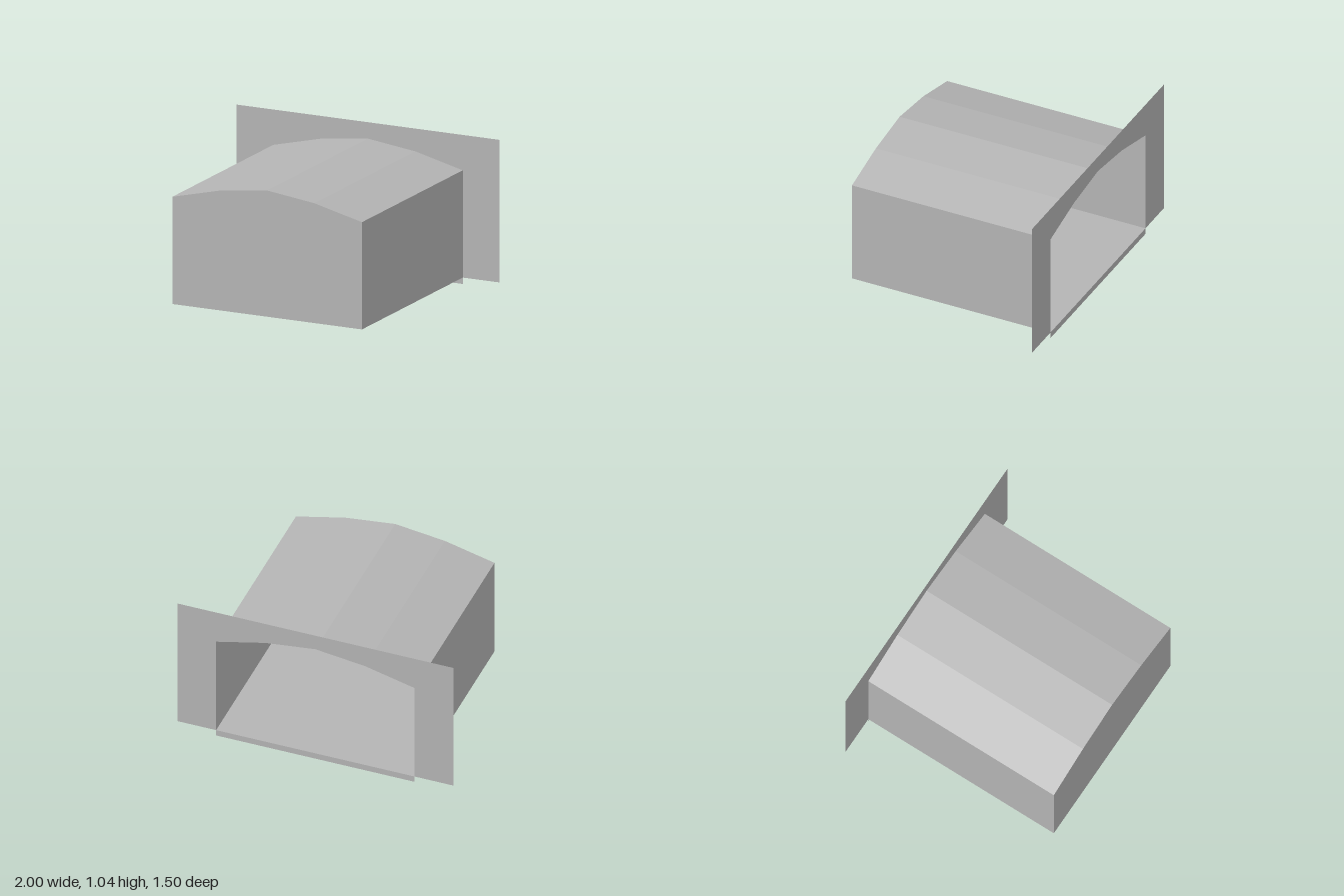
import * as THREE from 'three';

const BASE = 0.045, HALF = 0.72, FRONT = 0.75, BACK = -0.75;

// Arched cross-section, counter-clockwise seen from the front
const profile = [
  [-HALF, BASE], [HALF, BASE], [HALF, 0.797], [0.36, 0.885],
  [0, 0.93], [-0.36, 0.885], [-HALF, 0.797],
];

// Flat sheet in the xy plane at depth z
function sheet(points, z) {
  const shape = new THREE.Shape(points.map(([x, y]) => new THREE.Vector2(x, y)));
  return new THREE.ShapeGeometry(shape).translate(0, 0, z);
}

// Flat strip running front to back along one edge of the cross-section
function panel([x0, y0], [x1, y1]) {
  const g = new THREE.BufferGeometry();
  g.setAttribute('position', new THREE.Float32BufferAttribute([
    x0, y0, FRONT, x0, y0, BACK, x1, y1, BACK, x1, y1, FRONT,
  ], 3));
  g.setIndex([0, 1, 2, 0, 2, 3]);
  g.computeVertexNormals();
  return g;
}

export function createModel() {
  const group = new THREE.Group();
  const grey = new THREE.MeshStandardMaterial({ color: 0xb4b4b4, side: THREE.DoubleSide });
  grey.name = 'plain grey';

  const add = (name, geometry) => {
    const mesh = new THREE.Mesh(geometry, grey);
    mesh.name = name;
    group.add(mesh);
  };

  // Hollow body: floor, sides and faceted roof, closed at the front
  const names = ['floor', 'leftSide', 'roofLeftOuter', 'roofLeftInner',
    'roofRightInner', 'roofRightOuter', 'rightSide'];
  names.forEach((name, i) => add(name, panel(profile[i], profile[(i + 1) % profile.length])));
  add('frontWall', sheet(profile, FRONT));

  // Wide back wall with the arched opening cut up from its lower edge
  const arch = [...profile.slice(2).reverse(), profile[1]];
  add('backWall', sheet([
    [-1, BASE], profile[0], ...arch, [1, BASE], [1, 1.045], [-1, 1.045],
  ], BACK));

  // Low sill below the opening
  add('sill', sheet([[-HALF, 0], [HALF, 0], [HALF, BASE], [-HALF, BASE]], BACK));

  return group;
}
